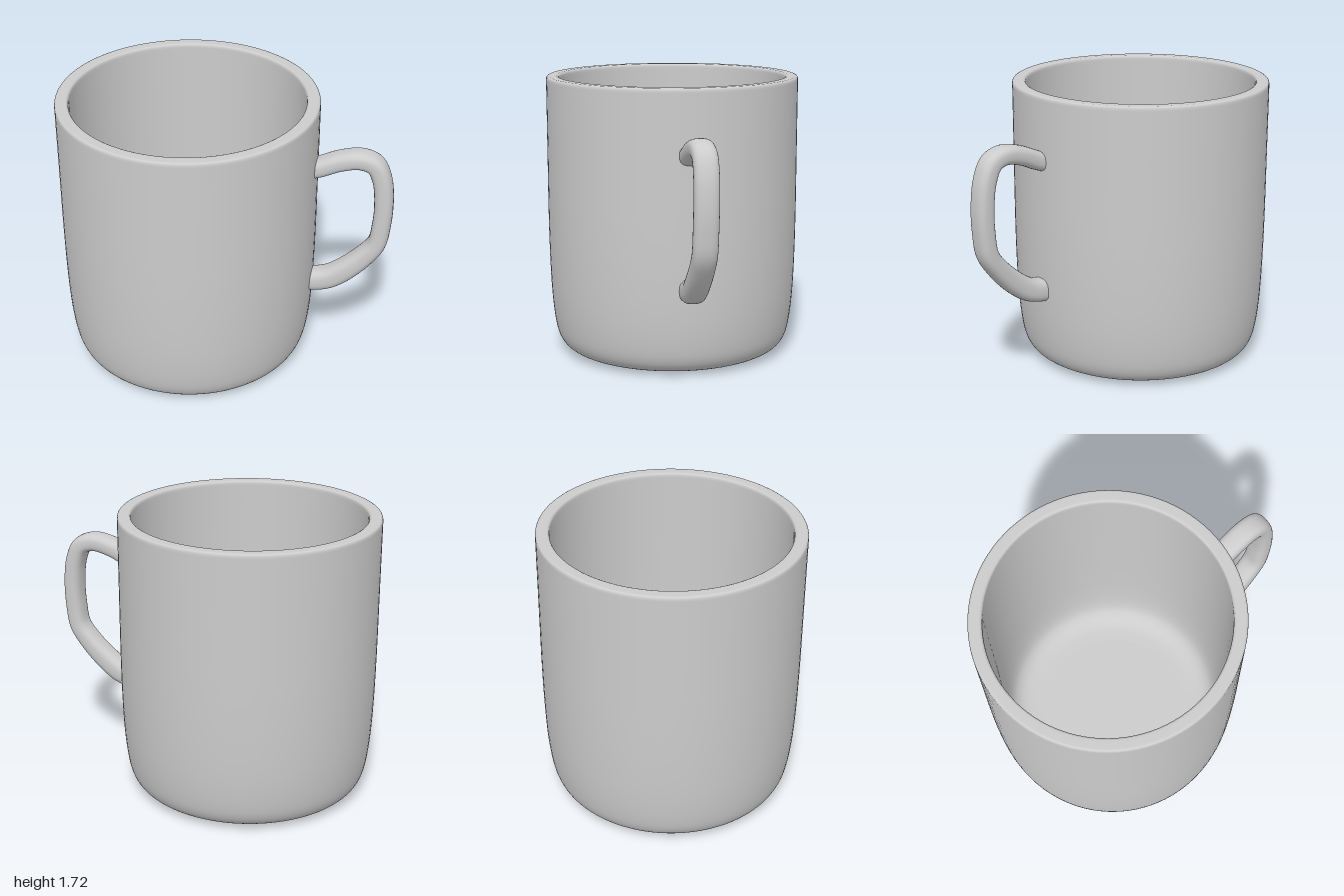
import * as THREE from 'three';

const material = new THREE.MeshStandardMaterial({ color: 0xcccccc });
const CUP_X = -0.23;

const smooth = (pts, n) =>
  new THREE.SplineCurve(pts.map(([x, y]) => new THREE.Vector2(x, y))).getPoints(n);

// Hollow cup: one closed profile from the underside, over the rim, to the inner floor
function cupGeometry() {
  const outer = smooth([[0.52, 0.005], [0.61, 0.015], [0.675, 0.045], [0.715, 0.1], [0.738, 0.19],
    [0.755, 0.34], [0.765, 0.55], [0.77, 0.85], [0.77, 1.3], [0.77, 1.69]], 48);
  const rim = smooth([[0.77, 1.695], [0.767, 1.711], [0.755, 1.718]], 5)
    .concat(smooth([[0.705, 1.718], [0.693, 1.711], [0.69, 1.695]], 5));
  const inner = smooth([[0.69, 1.68], [0.69, 1.2], [0.688, 0.7], [0.68, 0.4], [0.66, 0.23],
    [0.62, 0.15], [0.55, 0.11], [0.45, 0.1]], 40);
  const profile = [new THREE.Vector2(0, 0), new THREE.Vector2(0.5, 0.002),
    ...outer, ...rim, ...inner, new THREE.Vector2(0, 0.1)];
  return new THREE.LatheGeometry(profile, 96);
}

// Handle: a rounded-rectangle section swept along a bent path
function handleGeometry() {
  const path = new THREE.CatmullRomCurve3([
    [0.49, 1.322, 0], [0.56, 1.345, 0], [0.67, 1.392, -0.005], [0.79, 1.415, -0.012],
    [0.875, 1.385, -0.017], [0.922, 1.29, -0.018], [0.942, 1.13, -0.016], [0.937, 0.98, -0.014],
    [0.915, 0.85, -0.012], [0.85, 0.755, -0.008], [0.74, 0.645, -0.002], [0.64, 0.575, 0],
    [0.56, 0.55, 0], [0.49, 0.545, 0],
  ].map((p) => new THREE.Vector3(...p)), false, 'centripetal');
  const steps = 90, sides = 28, positions = [], index = [];
  const round = (v) => Math.sign(v) * Math.abs(v) ** 0.75;
  for (let i = 0; i <= steps; i++) {
    const t = i / steps;
    const c = path.getPointAt(t), d = path.getTangentAt(t);
    const len = Math.hypot(d.x, d.y), nx = -d.y / len, ny = d.x / len;
    // slightly thicker towards the lower joint
    const half = 0.056 + 0.014 * THREE.MathUtils.smoothstep(t, 0.6, 0.9);
    for (let j = 0; j < sides; j++) {
      const a = (j / sides) * Math.PI * 2;
      const u = round(Math.cos(a)) * half, w = round(Math.sin(a)) * 0.071;
      positions.push(c.x + nx * u, c.y + ny * u, c.z + w);
      if (i < steps) {
        const k = (j + 1) % sides, p = i * sides, q = p + sides;
        index.push(p + j, p + k, q + j, p + k, q + k, q + j);
      }
    }
  }
  const geometry = new THREE.BufferGeometry();
  geometry.setAttribute('position', new THREE.Float32BufferAttribute(positions, 3));
  geometry.setIndex(index);
  geometry.computeVertexNormals();
  return geometry;
}

export function createModel() {
  const group = new THREE.Group();
  group.name = 'mug';

  const cup = new THREE.Mesh(cupGeometry(), material);
  cup.name = 'cup';
  cup.position.x = CUP_X;

  const handle = new THREE.Mesh(handleGeometry(), material);
  handle.name = 'handle';

  group.add(cup, handle);
  return group;
}
